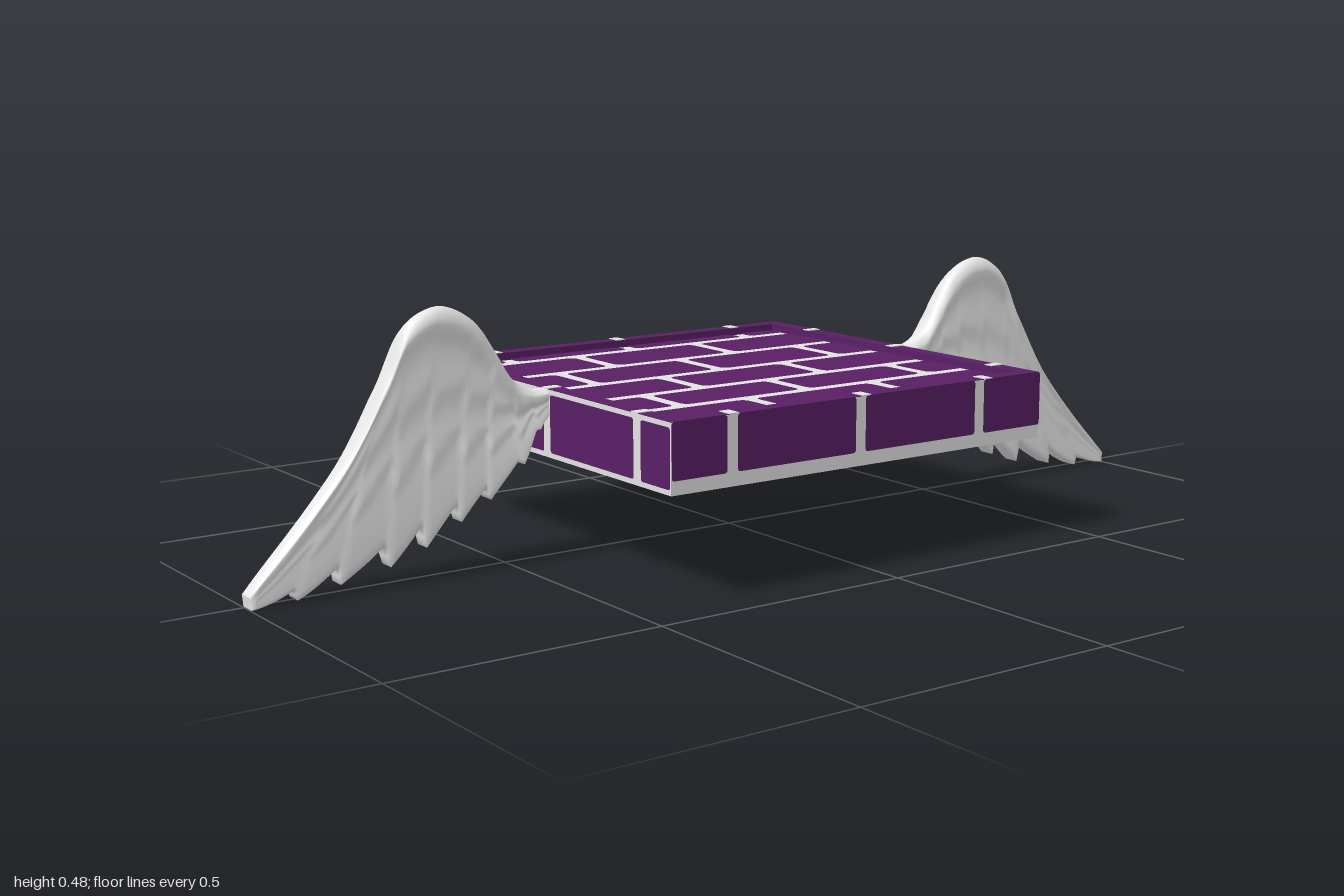
import * as THREE from 'three';

const purple = new THREE.MeshStandardMaterial({ color: 0x591e64 });
purple.name = 'purpleBrick';
const mortar = new THREE.MeshStandardMaterial({ color: 0xe2e2e2 });
mortar.name = 'greyMortar';
const white = new THREE.MeshStandardMaterial({ color: 0xebebeb });
white.name = 'wingWhite';

const HX = 0.42, HZ = 0.408, Y0 = 0.19, Y1 = 0.315, FLOOR = 0.3, RIM = 0.03;

function add(parent, geo, mat, name, x = 0, y = 0, z = 0) {
  const m = new THREE.Mesh(geo, mat);
  m.name = name;
  m.position.set(x, y, z);
  parent.add(m);
  return m;
}

function rect(shape, hx, hy) {
  return shape.moveTo(-hx, -hy).lineTo(hx, -hy).lineTo(hx, hy).lineTo(-hx, hy).closePath();
}

// Flat brick with rounded corners
function brickShape(x0, x1, y0, y1, r) {
  const s = new THREE.Shape();
  s.moveTo(x0 + r, y0).lineTo(x1 - r, y0).quadraticCurveTo(x1, y0, x1, y0 + r);
  s.lineTo(x1, y1 - r).quadraticCurveTo(x1, y1, x1 - r, y1);
  s.lineTo(x0 + r, y1).quadraticCurveTo(x0, y1, x0, y1 - r);
  s.lineTo(x0, y0 + r).quadraticCurveTo(x0, y0, x0 + r, y0);
  return s;
}

// One row of bricks between u0 and u1, parted at the cuts
function brickRow(u0, u1, v0, v1, cuts, gap, r) {
  const ends = [u0 - gap / 2, ...cuts, u1 + gap / 2];
  return ends.slice(1).map((e, i) => brickShape(ends[i] + gap / 2, e - gap / 2, v0, v1, r));
}

// Square frame lying flat, with its underside on y = 0
function frame(hx, hz, width, height) {
  const s = rect(new THREE.Shape(), hx, hz);
  s.holes.push(rect(new THREE.Path(), hx - width, hz - width));
  return new THREE.ExtrudeGeometry(s, { depth: height, bevelEnabled: false }).rotateX(-Math.PI / 2);
}

function createPlatform() {
  const g = new THREE.Group();
  g.name = 'brickPlatform';
  g.position.x = 0.003;
  add(g, new THREE.BoxGeometry(HX * 2 - 0.004, FLOOR - Y0, HZ * 2 - 0.004), mortar, 'slab', 0, (FLOOR + Y0) / 2, 0);
  add(g, frame(HX, HZ, 0.003, Y1 - Y0 - 0.001), mortar, 'sideMortar', 0, Y0, 0);
  add(g, frame(HX - 0.001, HZ - 0.001, RIM, Y1 - FLOOR), purple, 'raisedRim', 0, FLOOR, 0);

  // Mortar joints across the rim
  const joint = (w, d, x, z) => add(g, new THREE.BoxGeometry(w, 0.003, d), mortar, 'rimJoint', x, Y1, z);
  for (const s of [-1, 1]) {
    for (const z of [-0.26, 0.01, 0.3]) joint(RIM, 0.02, s * (HX - RIM / 2), z);
    for (const x of [-0.29, 0, 0.29]) joint(0.02, RIM, x, s * (HZ - RIM / 2));
  }

  // Brick courses of the top and underside
  const lines = [-0.325, -0.175, -0.025, 0.115, 0.245];
  const courses = (hx, hz, gap, r) => {
    const edges = [-hz - gap / 2, ...lines, hz + gap / 2];
    return edges.slice(1).flatMap((e, i) => brickRow(-hx, hx, -e + gap / 2, -edges[i] - gap / 2,
      i % 2 ? [-0.145, 0.14] : [-0.28, 0, 0.29], gap, r));
  };
  const top = add(g, new THREE.ShapeGeometry(courses(HX - RIM, HZ - RIM, 0.023, 0.016), 4), purple, 'topBricks', 0, FLOOR + 0.002, 0);
  top.rotation.x = -Math.PI / 2;
  const under = add(g, new THREE.ShapeGeometry(courses(HX, HZ, 0.026, 0.026), 4), purple, 'undersideBricks', 0, Y0 - 0.002, 0);
  under.rotation.x = Math.PI / 2;

  // Brick courses of the four sides
  const side = (name, u0, u1, v0, v1, cuts, x, z, turn) => {
    const m = add(g, new THREE.ShapeGeometry(brickRow(u0, u1, v0, v1, cuts, 0.022, 0.006), 4), purple, name, x, 0, z);
    m.rotation.y = turn;
  };
  side('frontBricks', -HX, HX, 0.215, Y1, [-0.295, -0.015, 0.267], 0, HZ + 0.002, 0);
  side('backBricks', -HX, HX, 0.197, 0.31, [-0.28, 0, 0.29], 0, -HZ - 0.002, Math.PI);
  side('leftBricks', -HZ, HZ - 0.013, 0.2, 0.306, [-0.31, -0.02, 0.255], HX + 0.002, 0, Math.PI / 2);
  side('rightBricks', 0.013 - HZ, HZ, 0.2, 0.306, [-0.255, 0.02, 0.31], -HX - 0.002, 0, -Math.PI / 2);
  return g;
}

// Leading edge, and the feather tips that lie opposite its points
const curve = (pts) => new THREE.CatmullRomCurve3(pts.map(([x, y]) => new THREE.Vector3(x, y, 0)));
const leading = curve([[0.41, 0.315], [0.45, 0.318], [0.485, 0.34], [0.52, 0.395], [0.56, 0.45],
  [0.625, 0.48], [0.685, 0.455], [0.73, 0.37], [0.81, 0.237], [1, 0.03]]);
const trailing = curve([[0.41, 0.27], [0.435, 0.245], [0.47, 0.185], [0.54, 0.13], [0.6, 0.098],
  [0.67, 0.062], [0.74, 0.038], [0.835, 0.022], [0.915, 0.008], [0.998, 0.004]]);
const FEATHERS = 9;
const step = THREE.MathUtils.smoothstep;

// Wing skinned over sections that run from leading edge to feather tips
function wingGeometry(sign) {
  const NT = FEATHERS * 10, NS = 26, ring = NS * 2 + 2, pos = [], index = [];
  for (let i = 0; i <= NT; i++) {
    const t = i / NT;
    const f = i === NT ? 1 : (i % 10) / 10;
    const a = leading.getPoint(t), b = trailing.getPoint(t);
    const notch = f < 0.2 ? f / 0.2 : (1 - f) / 0.8;
    const tip = 1 - 0.1 * notch;
    const roll = Math.min(0.045 / a.distanceTo(b), 0.35);
    const swell = Math.pow(Math.sin(Math.PI * Math.min(t, 0.999)), 0.7);
    const saw = (f < 0.2 ? 1 - f / 0.2 : (f - 0.2) / 0.8) - 0.5;
    for (let k = 0; k < ring; k++) {
      const front = k <= NS;
      const s = Math.pow((front ? k : ring - 1 - k) / NS, 1.4);
      const round = Math.sqrt(Math.min(1, s / (roll * 0.5)));
      let z;
      if (front) {
        // Rolled edge, then two rows of coverts over the long feathers
        const dip = 0.013 * step(s, roll * 0.7, roll * 1.5) * swell;
        const rise = 0.011 * step(s, 0.45, 1) * swell;
        const cover = 0.0035 * (step(s, 0.2, 0.38) - step(s, 0.38 + 0.04 * saw, 0.42 + 0.04 * saw)
          + step(s, 0.44, 0.62) - step(s, 0.62 + 0.06 * saw, 0.67 + 0.06 * saw));
        z = 0.008 + 0.019 * round - dip + rise + cover * swell + 0.0035 * saw * step(s, 0.3, 0.6) * swell;
      } else {
        z = 0.004 - 0.01 * round - 0.037 * swell * Math.sin(Math.PI * Math.pow(s, 0.6))
          - 0.003 * saw * step(s, 0.35, 0.8) * swell;
      }
      const p = a.clone().lerp(b, s * tip);
      pos.push(sign * p.x, p.y, z);
    }
  }
  const tri = (a, b, c) => (sign > 0 ? index.push(a, b, c) : index.push(a, c, b));
  for (let i = 0; i < NT; i++) {
    for (let k = 0; k < ring; k++) {
      const a = i * ring + k, b = i * ring + (k + 1) % ring;
      tri(a, b, b + ring);
      tri(a, b + ring, a + ring);
    }
  }
  // Close the root and the tip
  for (let k = 0; k < NS; k++) {
    for (const [o, flip] of [[0, true], [NT * ring, false]]) {
      const [a, b, c, d] = [k, k + 1, ring - 2 - k, ring - 1 - k].map((n) => n + o);
      if (flip) { tri(a, c, b); tri(a, d, c); } else { tri(a, b, c); tri(a, c, d); }
    }
  }
  const geo = new THREE.BufferGeometry();
  geo.setAttribute('position', new THREE.Float32BufferAttribute(pos, 3));
  geo.setIndex(index);
  geo.computeVertexNormals();
  return geo;
}

export function createModel() {
  const model = new THREE.Group();
  model.name = 'wingedBrickPlatform';
  model.add(createPlatform());
  add(model, wingGeometry(1), white, 'leftWing');
  add(model, wingGeometry(-1), white, 'rightWing');
  return model;
}
